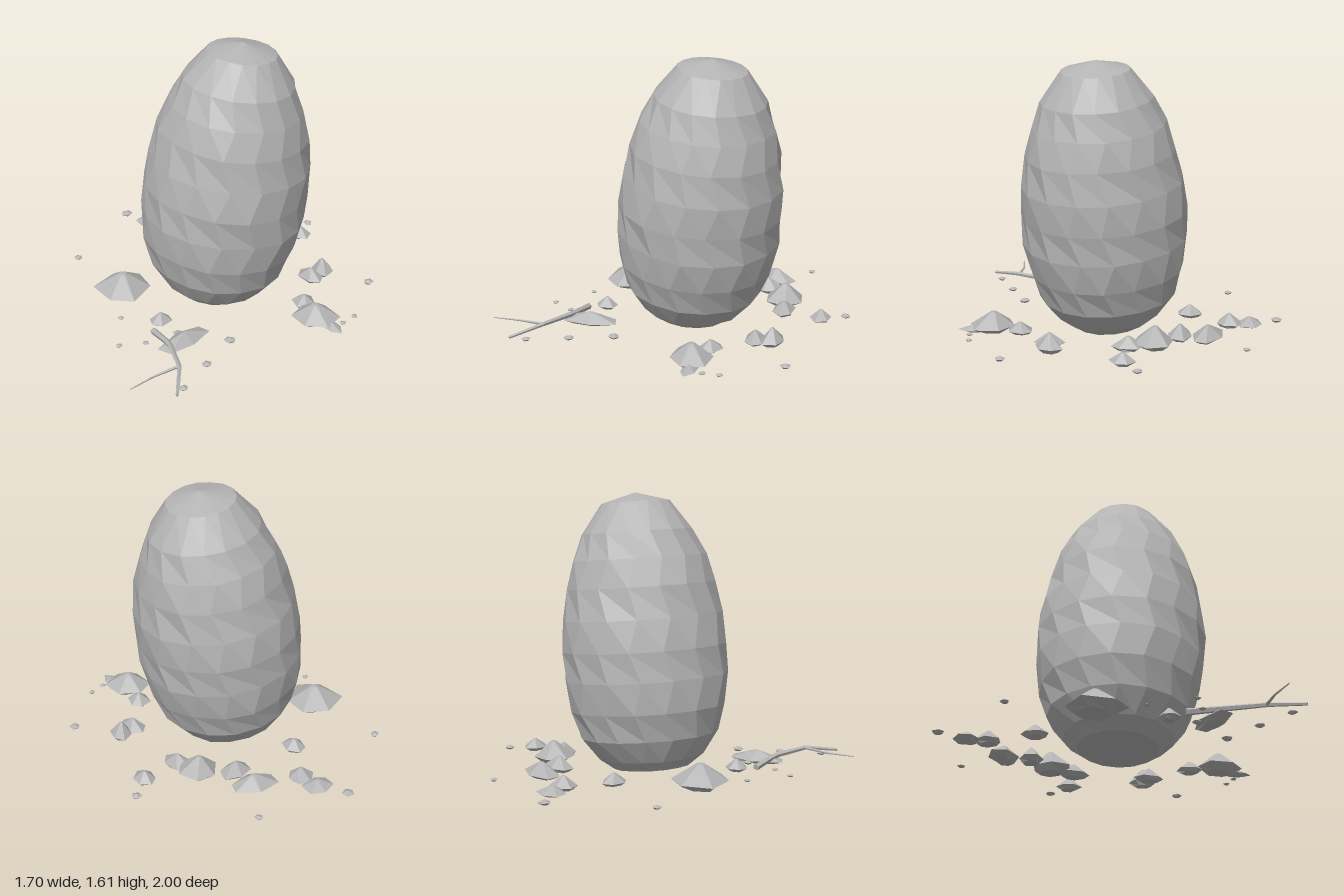
import * as THREE from 'three';

const stone = new THREE.MeshStandardMaterial({ color: 0xb4b4b4, flatShading: true });
stone.name = 'grey stone';

// Small seeded generator for the irregular facets
function seeded(seed) {
  let s = seed;
  return () => (s = (s * 16807) % 2147483647) / 2147483647;
}

// Lathe whose rings may twist and whose vertices wander a little, seam kept closed
function facetedLathe(profile, sides, jitter, twist, seed) {
  const rand = seeded(seed);
  const n = profile.length;
  const geo = new THREE.LatheGeometry(profile.map(([r, y]) => new THREE.Vector2(r, y)), sides);
  const pos = geo.attributes.position;
  const offsets = Array.from({ length: sides * n }, () => [(rand() - 0.5) * jitter, (rand() - 0.5) * jitter]);
  for (let i = 0; i <= sides; i++) {
    for (let j = 0; j < n; j++) {
      const [dr, da] = offsets[(i % sides) * n + j];
      const a = ((i % sides) / sides) * Math.PI * 2 + (j % 2 ? twist : -twist) + da;
      const r = profile[j][0] * (1 + dr);
      pos.setXYZ(i * n + j, Math.sin(a) * r, profile[j][1], Math.cos(a) * r);
    }
  }
  geo.computeVertexNormals();
  return geo;
}

function add(parent, geo, name) {
  const mesh = new THREE.Mesh(geo, stone);
  mesh.name = name;
  parent.add(mesh);
  return mesh;
}

// Tapered twig running through a list of points
function twig(parent, points, r0, r1, name) {
  const path = new THREE.CurvePath();
  const v = points.map((p) => new THREE.Vector3(...p));
  for (let i = 1; i < v.length; i++) path.add(new THREE.LineCurve3(v[i - 1], v[i]));
  const steps = 12, sides = 5;
  const geo = new THREE.TubeGeometry(path, steps, 1, sides);
  const pos = geo.attributes.position;
  const p = new THREE.Vector3();
  for (let i = 0; i <= steps; i++) {
    const c = path.getPointAt(i / steps);
    const r = r0 + (r1 - r0) * (i / steps);
    for (let j = 0; j <= sides; j++) {
      const k = i * (sides + 1) + j;
      p.fromBufferAttribute(pos, k).sub(c).multiplyScalar(r).add(c);
      pos.setXYZ(k, p.x, p.y, p.z);
    }
  }
  add(parent, geo, name);
  // End caps
  [[v[0], v[1], r0], [v[v.length - 1], v[v.length - 2], r1]].forEach(([end, inner, r]) => {
    const cap = add(parent, new THREE.CircleGeometry(r, sides), name + 'End');
    cap.position.copy(end);
    cap.lookAt(end.clone().multiplyScalar(2).sub(inner));
  });
}

export function createModel() {
  const model = new THREE.Group();
  model.name = 'standingBoulder';

  // Egg-shaped boulder, leaning slightly to its left
  const boulderProfile = [
    [0, 0], [0.23, 0], [0.31, 0.06], [0.405, 0.19], [0.458, 0.35], [0.48, 0.53], [0.485, 0.7],
    [0.47, 0.88], [0.44, 1.06], [0.39, 1.22], [0.325, 1.37], [0.2, 1.54], [0, 1.595],
  ];
  const boulder = add(model, facetedLathe(boulderProfile, 16, 0.035, 0.06, 71), 'boulder');
  boulder.position.set(-0.085, 0.027, -0.01);
  boulder.rotation.set(0.015, 0, -0.117);

  // Rocks: x, z, half width, half depth, top height, turn
  const rocks = [
    [-0.62, -0.1, 0.17, 0.165, 0.165, 0.3], [-0.29, -0.45, 0.07, 0.08, 0.1, 0],
    [-0.24, -0.83, 0.09, 0.075, 0.085, 0.2], [-0.19, -0.72, 0.085, 0.075, 0.11, 0.5],
    [0.09, -0.67, 0.15, 0.08, 0.12, 0], [0.13, -0.52, 0.1, 0.075, 0.12, 0.2],
    [0.32, -0.43, 0.12, 0.12, 0.16, -0.4], [0.4, -0.3, 0.075, 0.1, 0.11, 0.4],
    [0.63, -0.35, 0.07, 0.075, 0.1, 0.2], [0.5, 0.14, 0.065, 0.09, 0.11, 0.4],
    [0.59, 0.1, 0.065, 0.08, 0.135, 0], [0.36, 0.55, 0.13, 0.14, 0.145, 0.3],
    [0.42, 0.65, 0.05, 0.085, 0.07, 0.4], [0.36, 0.38, 0.07, 0.08, 0.1, 0],
    [-0.5, 0.28, 0.07, 0.06, 0.1, 0.1], [-0.43, 0.51, 0.185, 0.075, 0.1, 0.5],
  ];
  const rockGroup = new THREE.Group();
  rockGroup.name = 'rocks';
  model.add(rockGroup);
  const rockProfile = [[0, 0], [0.6, 0], [1, 0.28], [0.12, 1], [0, 1]];
  rocks.forEach(([x, z, rx, rz, top, turn], i) => {
    const rock = add(rockGroup, facetedLathe(rockProfile, 6, 0.25, 0.08, 101 + i * 977), 'rock');
    rock.position.set(x, 0.03, z);
    rock.scale.set(rx, top - 0.03, rz);
    rock.rotation.y = turn;
  });

  // Pebbles: x, z, radius
  const pebbles = [
    [-0.36, -0.965, 0.036], [0.19, -0.93, 0.024], [-0.79, -0.55, 0.026], [0.73, -0.47, 0.03],
    [-0.71, 0.17, 0.02], [-0.79, 0.43, 0.02], [-0.64, 0.455, 0.02], [-0.18, 0.59, 0.034],
    [-0.375, 0.76, 0.03], [-0.56, 0.92, 0.028], [0.815, 0.3, 0.032], [0.59, 0.6, 0.02],
    [0.5, 0.64, 0.02], [-0.44, 0.43, 0.03],
  ];
  const pebbleGroup = new THREE.Group();
  pebbleGroup.name = 'pebbles';
  model.add(pebbleGroup);
  const pebbleProfile = [[0, 0], [0.6, 0.1], [1, 0.5], [0, 1]];
  pebbles.forEach(([x, z, r], i) => {
    const pebble = add(pebbleGroup, facetedLathe(pebbleProfile, 5, 0.2, 0, 55 + i * 613), 'pebble');
    pebble.position.set(x, 0.03, z);
    pebble.scale.set(r, r * 0.9, r);
    pebble.rotation.y = i;
  });

  // Fallen forked branch
  const branch = new THREE.Group();
  branch.name = 'branch';
  model.add(branch);
  twig(branch, [[-0.57, 0.05, 0.37], [-0.53, 0.08, 0.56], [-0.545, 0.092, 0.8], [-0.62, 0.062, 0.995]],
    0.02, 0.009, 'mainTwig');
  twig(branch, [[-0.545, 0.092, 0.79], [-0.7, 0.085, 0.825], [-0.85, 0.085, 0.89]],
    0.009, 0.003, 'sideTwig');

  return model;
}
